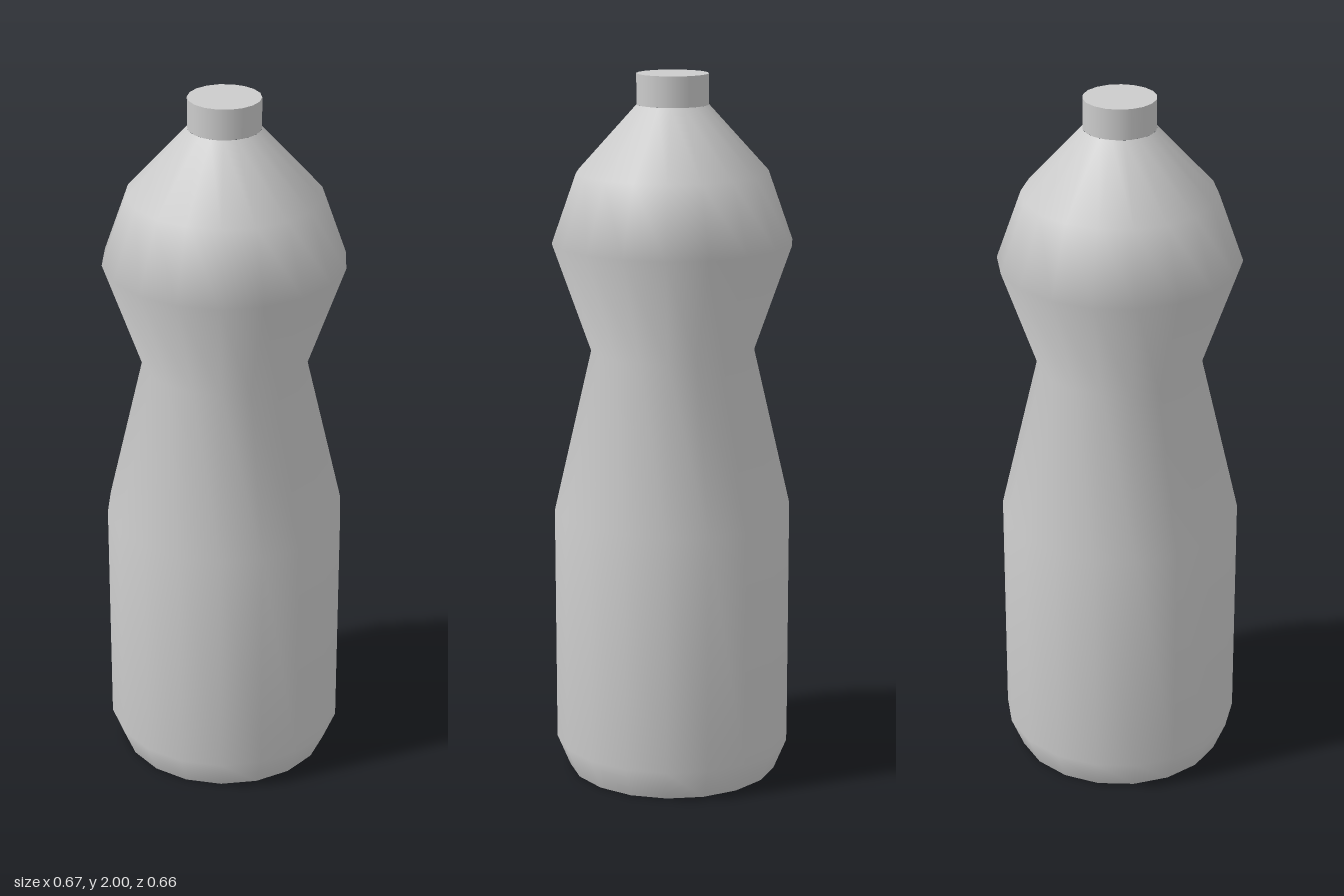
import * as THREE from 'three';

const SIDES = 18;

export function createModel() {
  const group = new THREE.Group();
  const material = new THREE.MeshStandardMaterial({ color: 0xcccccc });

  const add = (name, geometry, y = 0) => {
    const mesh = new THREE.Mesh(geometry, material);
    mesh.name = name;
    mesh.position.y = y;
    group.add(mesh);
  };

  // Waisted body, [radius, height] from the base to the neck, a corner on the x axis
  const profile = [
    [0.3, 0], [0.337, 0.09], [0.337, 0.77], [0.23, 1.23],
    [0.337, 1.535], [0.268, 1.73], [0.1, 1.915],
  ].map(([r, y]) => new THREE.Vector2(r, y));
  add('body', new THREE.LatheGeometry(profile, SIDES, Math.PI / 2));

  // Flat underside
  add('base', new THREE.CircleGeometry(0.3, SIDES).rotateX(Math.PI / 2));

  // Cap, a corner on the z axis
  const capHeight = 0.085;
  add('cap', new THREE.CylinderGeometry(0.1, 0.1, capHeight, SIDES), 2 - capHeight / 2);

  return group;
}
